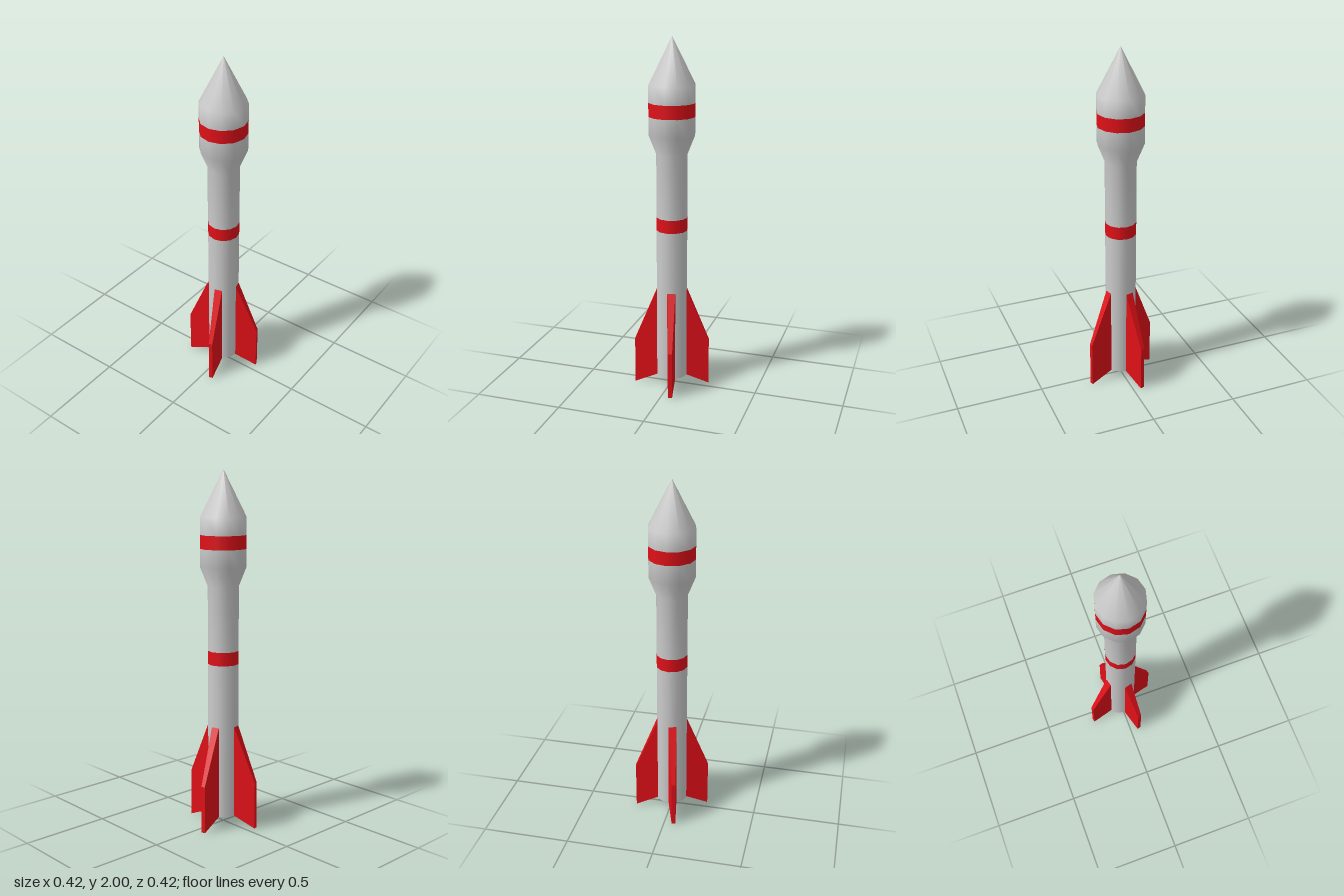
import * as THREE from 'three';

const SIDES = 12;
const grey = new THREE.MeshStandardMaterial({ color: 0xcccccc });
const red = new THREE.MeshStandardMaterial({ color: 0xe01018 });

// Body radii and the distance from the axis to a flat of the slim tube
const SLIM = 0.088, WIDE = 0.13;
const FLAT = SLIM * Math.cos(Math.PI / SIDES);

function turned(name, profile, material) {
  const points = profile.map(([r, y]) => new THREE.Vector2(r, y));
  const mesh = new THREE.Mesh(new THREE.LatheGeometry(points, SIDES), material);
  mesh.name = name;
  return mesh;
}

// Tapered fin: a box whose corners move to the root and tip outline
function finGeometry() {
  const root = { r: FLAT, top: 0.58, bottom: 0.055, half: SLIM * Math.sin(Math.PI / SIDES) };
  const tip = { r: 0.214, top: 0.27, bottom: 0, half: 0.011 };
  const geometry = new THREE.BoxGeometry(1, 1, 1);
  const p = geometry.attributes.position;
  for (let i = 0; i < p.count; i++) {
    const end = p.getX(i) > 0 ? tip : root;
    p.setXYZ(i, end.r, p.getY(i) > 0 ? end.top : end.bottom, Math.sign(p.getZ(i)) * end.half);
  }
  geometry.computeVertexNormals();
  return geometry;
}

export function createModel() {
  const group = new THREE.Group();

  // Fuselage, stacked from the tail up
  group.add(
    turned('lowerBody', [[SLIM, 0.055], [SLIM, 0.58], [SLIM, 0.935]], grey),
    turned('lowerBand', [[SLIM, 0.935], [SLIM, 1.01]], red),
    turned('upperBody', [[SLIM, 1.01], [SLIM, 1.37], [WIDE, 1.475], [WIDE, 1.575]], grey),
    turned('upperBand', [[WIDE, 1.575], [WIDE, 1.65]], red),
    turned('noseCone', [[WIDE, 1.65], [WIDE, 1.745], [0, 2]], grey),
  );

  // Flat tail cap
  const cap = new THREE.Mesh(new THREE.CircleGeometry(SLIM, SIDES), grey);
  cap.name = 'tailCap';
  cap.rotation.x = Math.PI / 2;
  cap.position.y = 0.055;
  group.add(cap);

  // Four fins, each seated on a flat of the tube
  const geometry = finGeometry();
  for (let i = 0; i < 4; i++) {
    const fin = new THREE.Mesh(geometry, red);
    fin.name = `fin${i + 1}`;
    fin.rotation.y = Math.PI / SIDES + i * Math.PI / 2;
    group.add(fin);
  }
  return group;
}
